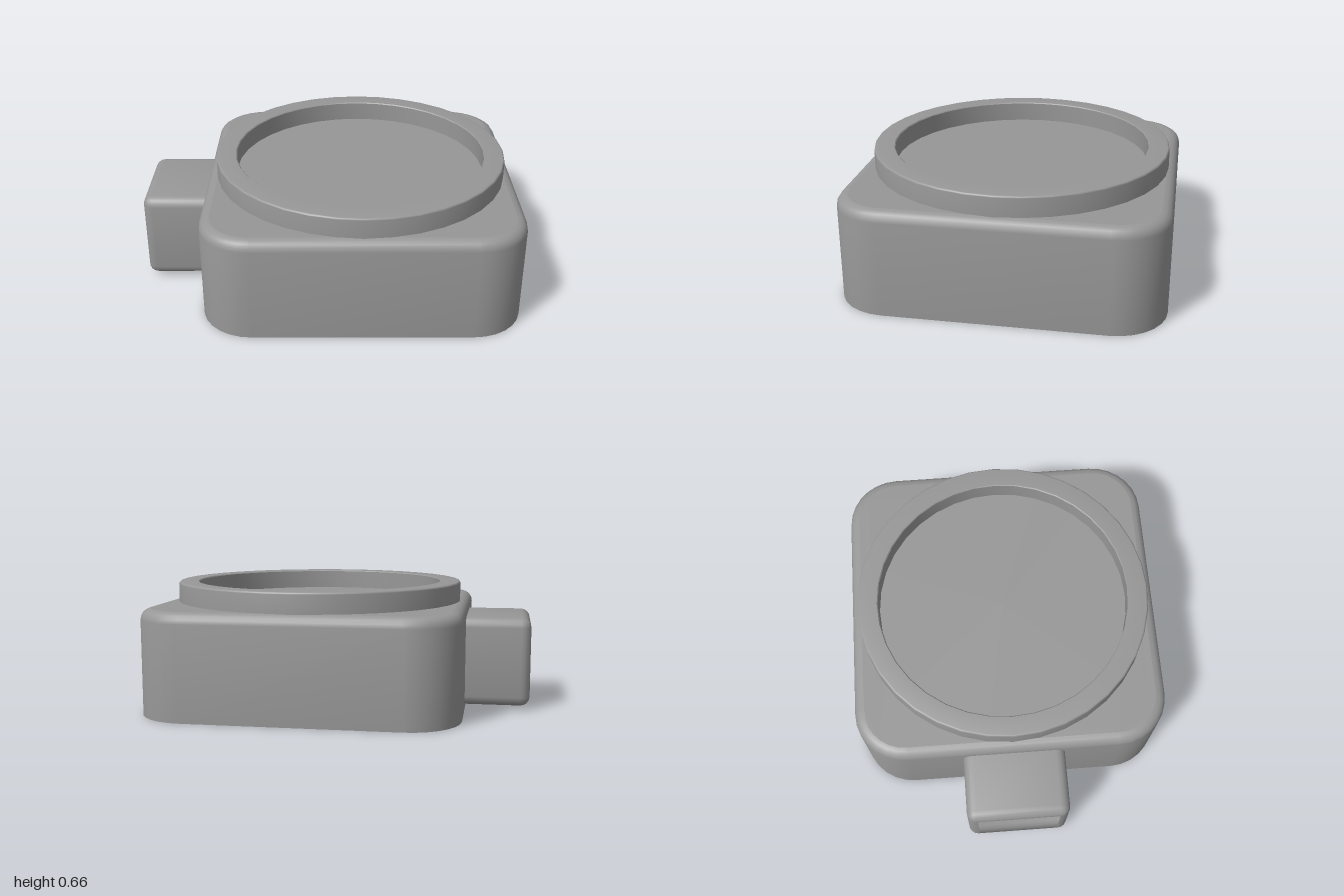
import * as THREE from 'three';
import { toCreasedNormals } from 'three/addons/utils/BufferGeometryUtils.js';

const CX = 0.17, HALF = 0.83, CORNER = 0.27; // housing centre, half width, corner radius
const TOP = 0.553; // height of the housing top
const material = new THREE.MeshStandardMaterial({ color: 0x979797, side: THREE.DoubleSide });

// Rounded rectangle, counter-clockwise
function outline(hw, hh, r, cy = 0, steps = 7) {
  const pts = [];
  [[-1, -1], [1, -1], [1, 1], [-1, 1]].forEach(([sx, sy], c) => {
    for (let i = 0; i <= steps; i++) {
      const a = Math.PI * (1 + c / 2 + i / steps / 2);
      pts.push(new THREE.Vector2(sx * (hw - r) + r * Math.cos(a), cy + sy * (hh - r) + r * Math.sin(a)));
    }
  });
  return pts;
}

// Skin a stack of [outline, z] sections
function loft(rows) {
  const n = rows[0][0].length, pos = [], index = [];
  rows.forEach(([pts, z]) => pts.forEach((p) => pos.push(p.x, p.y, z)));
  for (let j = 0; j < rows.length - 1; j++) {
    for (let i = 0; i < n; i++) {
      const a = j * n + i, b = j * n + (i + 1) % n;
      index.push(a, b, b + n, a, b + n, a + n);
    }
  }
  const g = new THREE.BufferGeometry();
  g.setAttribute('position', new THREE.Float32BufferAttribute(pos, 3));
  g.setIndex(index);
  return g;
}

// Quarter round of radius r about [x, y], from the side up to the top
function quarter(x, y, r, steps = 4) {
  return Array.from({ length: steps + 1 }, (_, i) => {
    const a = (i / steps) * Math.PI / 2;
    return [x + r * Math.cos(a), y + r * Math.sin(a)];
  });
}

function lathe(points) {
  const pts = points.map(([r, y]) => new THREE.Vector2(r, y));
  return new THREE.LatheGeometry(pts, 36).translate(CX, 0, 0);
}

export function createModel() {
  const group = new THREE.Group();
  const add = (name, geometry) => {
    const mesh = new THREE.Mesh(toCreasedNormals(geometry, 0.6), material);
    mesh.name = name;
    group.add(mesh);
  };

  // Open-bottomed housing with a rounded top edge
  const edge = 0.055;
  const housing = (half) => outline(half, half, CORNER - HALF + half);
  const walls = quarter(HALF - edge, TOP - edge, edge).map(([half, y]) => [housing(half), y]);
  add('housingWalls', loft([[housing(HALF), 0], ...walls]).rotateX(-Math.PI / 2).translate(CX, 0, 0));

  // Housing top around the collar
  const top = new THREE.Shape(housing(HALF - edge));
  top.holes.push(new THREE.Path().absarc(0, 0, 0.7, 0, Math.PI * 2, true));
  add('housingTop', new THREE.ShapeGeometry(top, 24).rotateX(-Math.PI / 2).translate(CX, TOP, 0));

  // Thin square duct with a rounded mouth; its open inner end passes through the housing wall
  const duct = (inset) => outline(0.27 - inset, 0.235 - inset, Math.max(0.05 - inset, 0.005), 0.255, 4);
  const mouth = quarter(-0.05, 0.95, 0.05).map(([x, z]) => [duct(-x), z]);
  add('duct', loft([[duct(0), 0.61], ...mouth, [duct(0.055), 1]]).rotateY(-Math.PI / 2));

  // Raised collar with the recessed disc
  add('collar', lathe([[0.785, TOP - 0.02], ...quarter(0.775, 0.65, 0.01), [0.68, 0.66], [0.675, 0.655],
    [0.675, TOP], [0, TOP]]));

  // Round well below the disc, open at the bottom, with a filleted ceiling
  add('well', lathe([[0.667, 0], ...quarter(0.587, 0.455, 0.08), [0, 0.535]]));

  return group;
}
